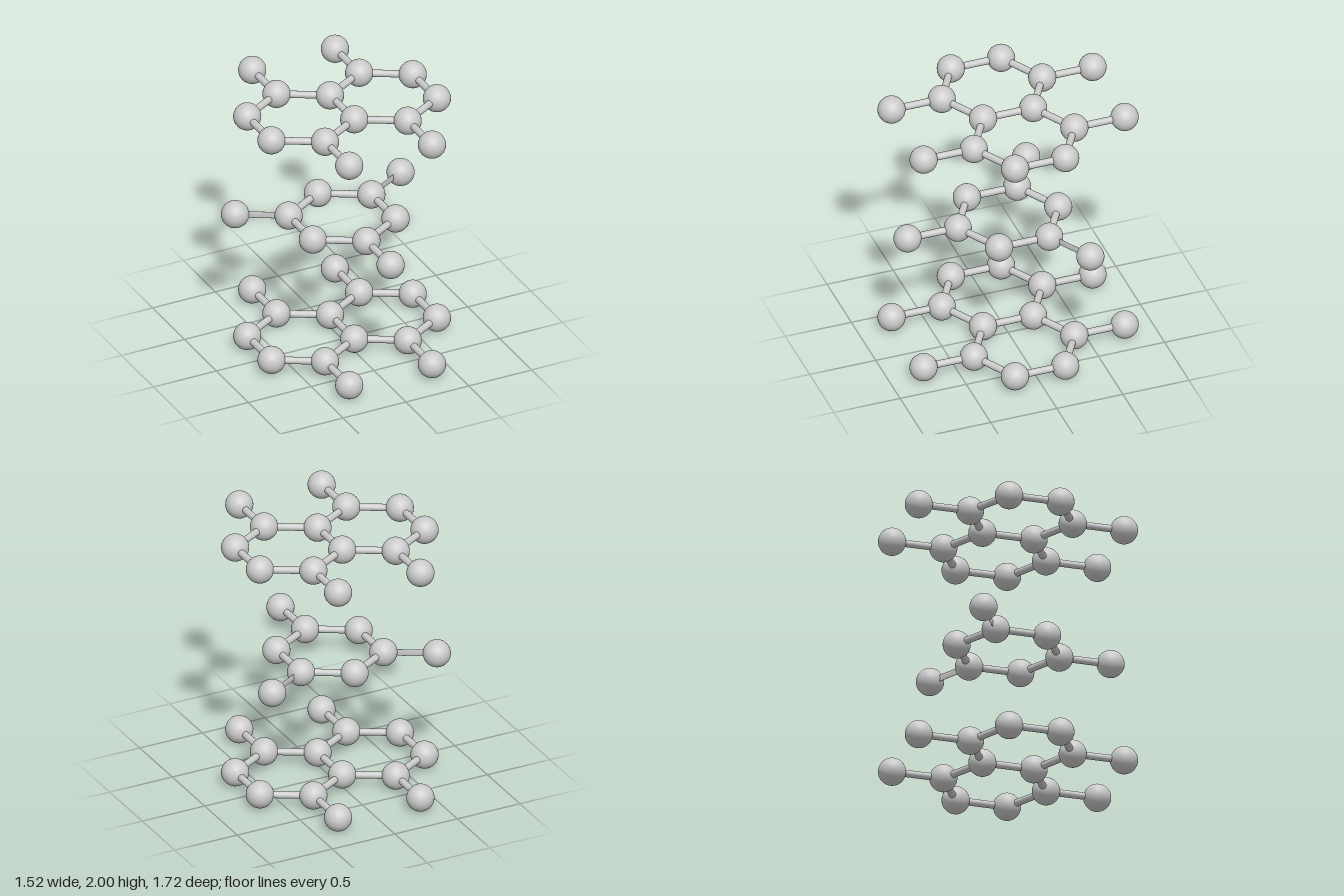
import * as THREE from 'three';

const A = 0.38;                 // bond length
const H = A * Math.sqrt(3) / 2; // half the width of a hexagon
const ATOM_R = 0.1;
const BOND_R = 0.026;

const material = new THREE.MeshStandardMaterial({ color: 0xcccccc });
const atomGeometry = new THREE.SphereGeometry(ATOM_R, 32, 20);
const bondGeometry = new THREE.CylinderGeometry(BOND_R, BOND_R, A, 20).rotateX(Math.PI / 2);

// Positions are given in steps: x in half hexagon widths, z in half bond lengths.
const place = ([i, k]) => new THREE.Vector3(i * H, 0, k * A / 2);

function buildLayer(name, y, steps, thinFrom = []) {
  const layer = new THREE.Group();
  layer.name = name;
  layer.position.y = y;
  const points = steps.map(place);

  points.forEach((p) => {
    const atom = new THREE.Mesh(atomGeometry, material);
    atom.name = 'atom';
    atom.position.copy(p);
    layer.add(atom);
  });

  // A rod joins every pair of neighbouring atoms.
  points.forEach((p, a) => points.slice(a + 1).forEach((q, n) => {
    if (p.distanceTo(q) > A * 1.1) return;
    const bond = new THREE.Mesh(bondGeometry, material);
    bond.name = 'bond';
    bond.position.copy(p).add(q).multiplyScalar(0.5);
    bond.rotation.y = Math.atan2(q.x - p.x, q.z - p.z);
    // Some rods are flattened into upright strips.
    if (thinFrom.includes(a) || thinFrom.includes(a + 1 + n)) bond.scale.x = 0.15;
    layer.add(bond);
  }));
  return layer;
}

export function createModel() {
  const model = new THREE.Group();
  model.name = 'layeredLattice';

  // Outer sheets: two fused hexagons with four end atoms.
  const doubleRing = [];
  for (const s of [-1, 1]) {
    for (const i of [-2, 0, 2]) doubleRing.push([i, s]);
    for (const i of [-1, 1]) doubleRing.push([i, 2 * s], [i, 4 * s]);
  }

  // Middle sheet: one hexagon with three end atoms, the side two on flat rods.
  const singleRing = [
    [-2, -2], [2, -2], [0, 4],
    [-1, -1], [0, -2], [1, -1], [1, 1], [0, 2], [-1, 1],
  ];

  model.add(
    buildLayer('bottomLayer', 0.1, doubleRing),
    buildLayer('middleLayer', 1, singleRing, [0, 1]),
    buildLayer('topLayer', 1.9, doubleRing),
  );
  return model;
}
